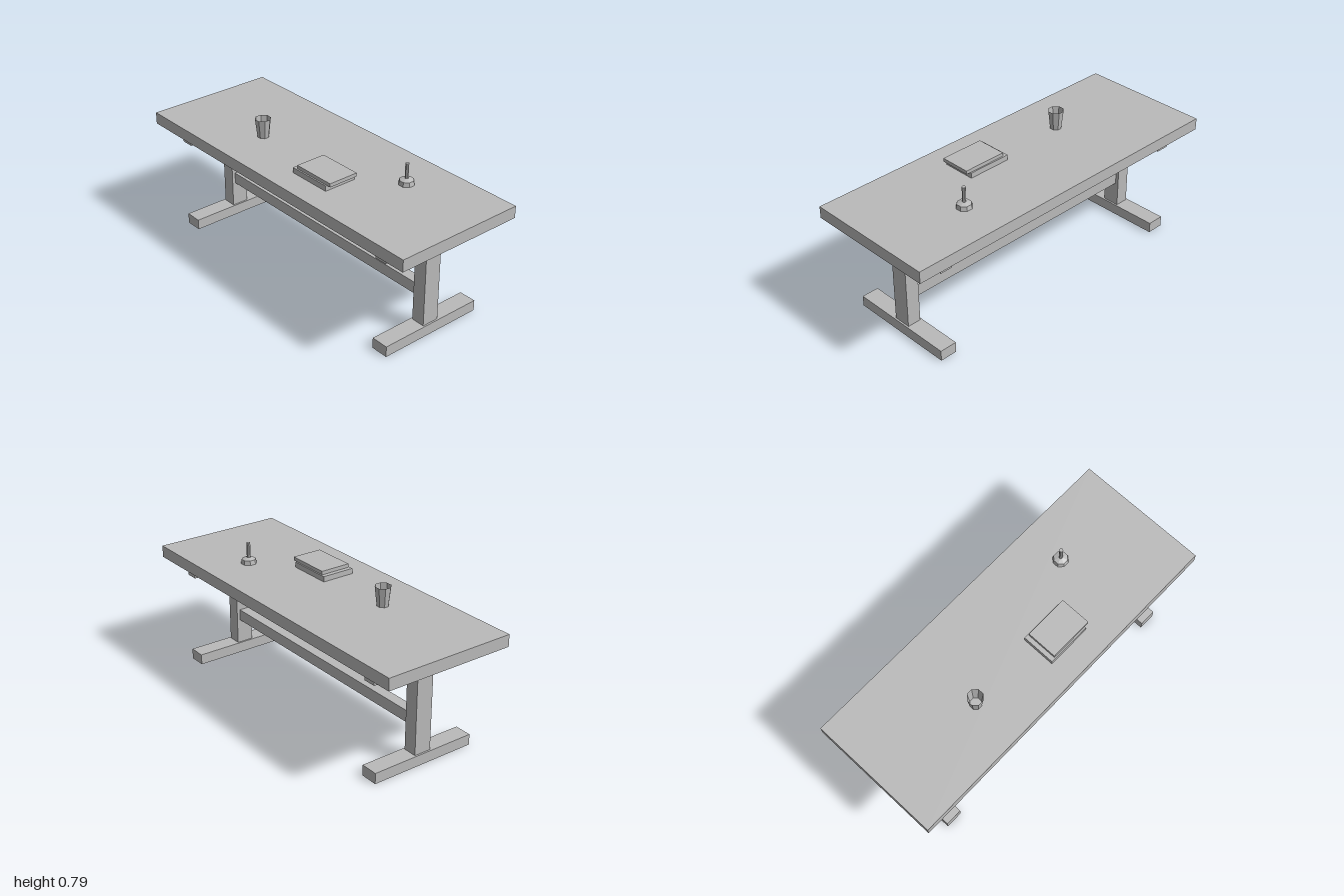
import * as THREE from 'three';

export function createModel() {
  const table = new THREE.Group();
  table.name = 'trestleTable';
  const grey = new THREE.MeshStandardMaterial({ color: 0xbababa, side: THREE.DoubleSide, flatShading: true });
  grey.name = 'plain grey';

  const add = (name, geometry) => {
    const mesh = new THREE.Mesh(geometry, grey);
    mesh.name = name;
    table.add(mesh);
    return mesh;
  };

  // Box given by its limits on each axis
  const box = (name, [x0, x1], [y0, y1], [z0, z1]) => {
    const mesh = add(name, new THREE.BoxGeometry(x1 - x0, y1 - y0, z1 - z0));
    mesh.position.set((x0 + x1) / 2, (y0 + y1) / 2, (z0 + z1) / 2);
    return mesh;
  };

  // Eight-sided turned shape standing on the table top
  const topY = 0.667;
  const turned = (name, points, x, z) => {
    const profile = points.map(([r, y]) => new THREE.Vector2(r, y));
    const mesh = add(name, new THREE.LatheGeometry(profile, 8, Math.PI / 8));
    mesh.position.set(x, topY, z);
  };

  box('tableTop', [-1, 1], [0.6, topY], [-0.375, 0.375]);
  box('stretcher', [-0.752, 0.752], [0.2, 0.265], [-0.03, 0.03]);

  // Trestles: post, cross bar under the top, and a foot open underneath
  for (const [side, s] of [['left', 1], ['right', -1]]) {
    const span = (a, b) => (s > 0 ? [a, b] : [-b, -a]);
    box(side + 'Post', span(0.751, 0.829), [0.058, 0.6], [-0.049, 0.049]);
    box(side + 'CrossBar', span(0.754, 0.826), [0.535, 0.6], [-0.317, 0.317]);
    const foot = box(side + 'Foot', span(0.741, 0.839), [0, 0.06], [-0.308, 0.308]);
    const index = Array.from(foot.geometry.index.array);
    index.splice(18, 6); // drop the bottom face
    foot.geometry.setIndex(index);
    foot.geometry.clearGroups();
  }

  // Two stacked books
  box('lowerBook', [0.04, 0.295], [topY, 0.697], [0.043, 0.234]);
  box('upperBook', [0.065, 0.32], [0.697, 0.717], [0.051, 0.226]);

  // Open cup and candlestick
  turned('cup', [[0, 0.002], [0.032, 0.002], [0.044, 0.109]], -0.378, 0.1);
  turned('candlestick',
    [[0, 0.001], [0.044, 0.001], [0.039, 0.025], [0.0105, 0.034], [0.0105, 0.118], [0, 0.118]], 0.497, -0.125);

  return table;
}
